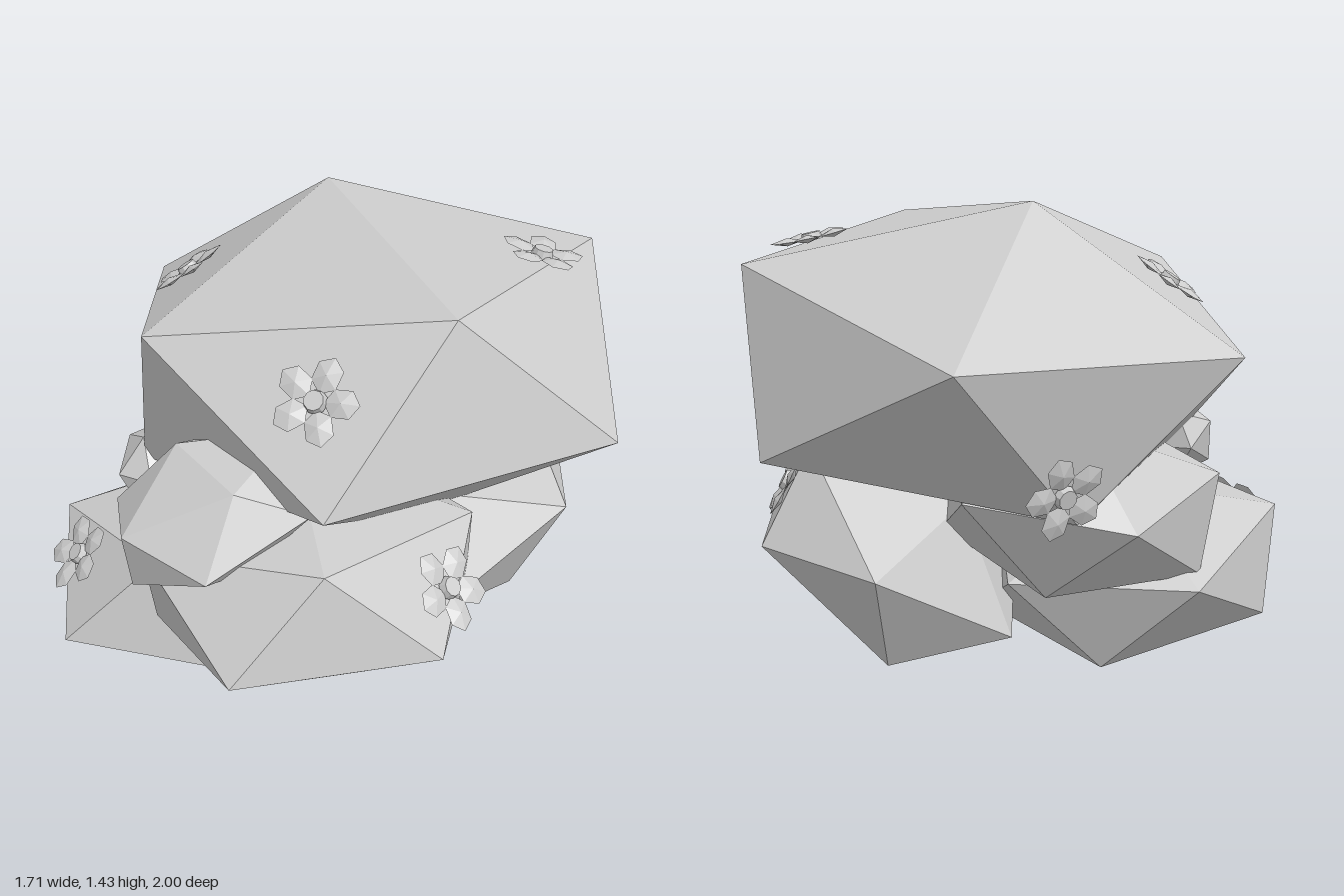
import * as THREE from 'three';

const V = (p) => new THREE.Vector3(...p);
const PHI = (1 + Math.sqrt(5)) / 2;
const stoneGrey = new THREE.MeshStandardMaterial({ color: 0xcccccc });
stoneGrey.name = 'stone grey';

// A boulder is a sheared icosahedron, fixed by its centre and the three corners of one face.
function boulder(name, centre, p, q, r) {
  const [c0, c] = [V(centre), V(r).sub(V(centre))];
  let [a, b] = [V(p).sub(c0), V(q).sub(c0)];
  if (a.dot(b.clone().cross(c)) < 0) [a, b] = [b, a];
  const z = a.clone().add(b).divideScalar(2 * PHI);
  const y = a.clone().sub(b).multiplyScalar(0.5);
  const x = c.clone().sub(z).divideScalar(PHI);
  const geometry = new THREE.IcosahedronGeometry(Math.hypot(1, PHI), 0);
  geometry.applyMatrix4(new THREE.Matrix4().makeBasis(x, y, z));
  geometry.computeVertexNormals();
  const mesh = new THREE.Mesh(geometry, stoneGrey);
  mesh.name = name;
  mesh.position.copy(c0);
  return mesh;
}

// Flat-faced copy of a geometry
function faceted(geometry) {
  const flat = geometry.toNonIndexed();
  flat.computeVertexNormals();
  return flat;
}

// Five folded petals around a small round centre, facing +y
const petalShape = faceted(new THREE.SphereGeometry(1, 6, 2).scale(0.052, 0.012, 0.044));
const centreShape = faceted(new THREE.CylinderGeometry(0.028, 0.034, 0.022, 10));
function flower(name, spin) {
  const group = new THREE.Group();
  group.name = name;
  for (let i = 0; i < 5; i++) {
    const arm = new THREE.Group();
    arm.rotation.y = spin + (i * Math.PI * 2) / 5;
    const petal = new THREE.Mesh(petalShape, stoneGrey);
    petal.name = 'petal';
    petal.position.set(0.075, 0.006, 0);
    petal.rotation.z = 0.08;
    arm.add(petal);
    group.add(arm);
  }
  const heart = new THREE.Mesh(centreShape, stoneGrey);
  heart.name = 'flowerCentre';
  heart.position.y = 0.008;
  group.add(heart);
  return group;
}

// Lays a flower flat on the boulder face nearest to a point
function plant(bloom, stone, at) {
  const point = V(at).sub(stone.position);
  const { position, normal } = stone.geometry.attributes;
  let best = -Infinity;
  const n = new THREE.Vector3();
  for (let i = 0; i < position.count; i += 3) {
    const faceNormal = new THREE.Vector3().fromBufferAttribute(normal, i);
    const corner = new THREE.Vector3().fromBufferAttribute(position, i);
    const d = point.clone().sub(corner).dot(faceNormal);
    if (d > best) {
      best = d;
      n.copy(faceNormal);
    }
  }
  bloom.position.copy(V(at)).addScaledVector(n, 0.01 - best);
  bloom.quaternion.setFromUnitVectors(new THREE.Vector3(0, 1, 0), n);
  return bloom;
}

export function createModel() {
  const model = new THREE.Group();
  model.name = 'floweringRockPile';

  // Boulders
  const top = boulder('topBoulder', [0.102, 0.986, -0.102],
    [-0.06, 1.437, -0.345], [0.39, 1.398, 0.465], [-0.483, 1.245, 0.39]);
  const front = boulder('frontBoulder', [0.005, 0.575, 0.485],
    [0.09, 0.815, 0.845], [-0.145, 0.535, 1.0], [0.41, 0.532, 0.8]);
  const left = boulder('leftBoulder', [0.37, 0.38, -0.11],
    [0.74, 0.605, 0.14], [0.37, 0.365, 0.41], [0.59, 0.22, 0.04]);
  const right = boulder('rightBoulder', [-0.367, 0.287, 0.13],
    [-0.39, 0.005, 0.335], [-0.8, 0.12, 0.017], [-0.747, 0.27, 0.57]);
  const back = boulder('backBoulder', [-0.2, 0.55, -0.25],
    [-0.1, 0.325, -0.52], [-0.56, 0.335, -0.29], [-0.35, 0.545, -0.675]);
  const small = boulder('smallBoulder', [-0.26, 0.837, 0.6],
    [-0.475, 0.83, 0.765], [-0.225, 0.77, 0.865], [-0.17, 0.97, 0.72]);
  const pebble = boulder('pebble', [-0.54, 0.665, 0.16],
    [-0.56, 0.78, 0.19], [-0.63, 0.675, 0.25], [-0.52, 0.675, 0.285]);
  model.add(top, front, left, right, back, small, pebble);

  // Flowers: boulder, place and turn
  const blooms = [
    [top, [0.025, 1.21, 0.6], 1.1],
    [top, [0.61, 1.335, -0.125], 0.3],
    [top, [-0.46, 1.19, -0.13], 0.2],
    [top, [-0.16, 0.66, -0.745], 0.6],
    [front, [0.42, 0.66, 0.64], 0.4],
    [left, [0.68, 0.62, -0.295], 0.9],
    [right, [-0.775, 0.44, 0.345], 0.2],
  ];
  blooms.forEach(([stone, at, spin], i) => model.add(plant(flower('flower' + (i + 1), spin), stone, at)));
  return model;
}
